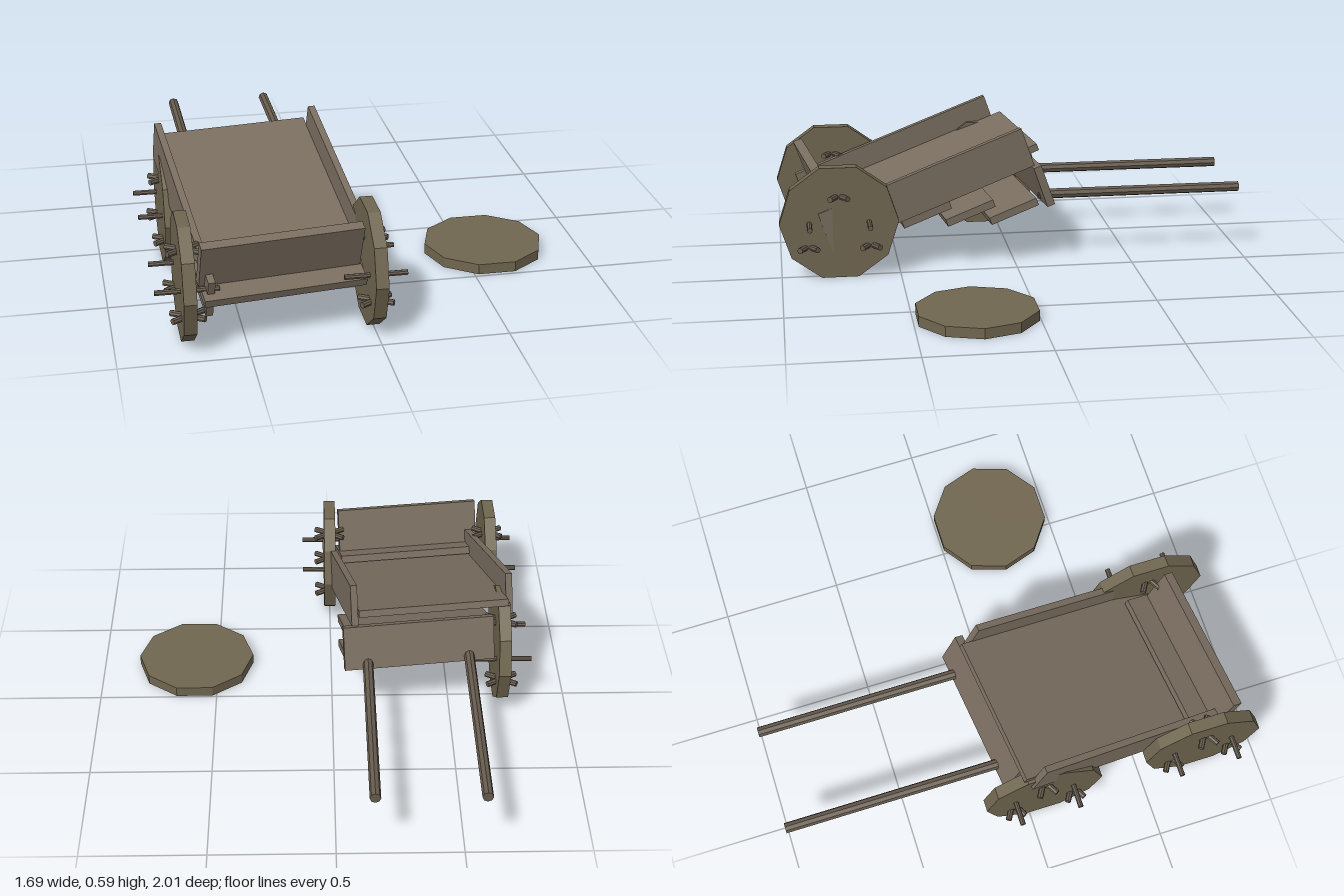
import * as THREE from 'three';

const plankWood = new THREE.MeshStandardMaterial({ color: 0x7a6e60, flatShading: true });
const wheelWood = new THREE.MeshStandardMaterial({ color: 0x706650, flatShading: true });
const poleWood = new THREE.MeshStandardMaterial({ color: 0x675c4f, flatShading: true });

const YAW = 0.122;   // the bed has slewed sideways
const PITCH = 0.34;  // and tipped, back end up

function add(parent, name, geometry, material, x, y, z) {
  const mesh = new THREE.Mesh(geometry, material);
  mesh.name = name;
  mesh.position.set(x, y, z);
  parent.add(mesh);
  return mesh;
}

// Board tilted like the bed
function tiltedBoard(parent, name, size, x, y, z) {
  const board = add(parent, name, new THREE.BoxGeometry(...size), plankWood, x, y, z);
  board.rotation.set(PITCH, YAW, 0, 'YXZ');
  return board;
}

// Rod lying across the wheel, turned by an angle in the horizontal plane
function crossRod(parent, name, radius, length, y, z, angle) {
  const rod = add(parent, name, new THREE.CylinderGeometry(radius, radius, length, 8), poleWood, 0, y, z);
  rod.rotation.set(0, angle, Math.PI / 2, 'YXZ');
}

const wheelDisc = new THREE.CylinderGeometry(0.25, 0.25, 0.05, 10);

// Upright ten-sided wheel with crossed pegs and two long through rods
function makeWheel(name, x, z) {
  const wheel = new THREE.Group();
  wheel.name = name;
  wheel.position.set(x, 0.238, z);
  add(wheel, 'wheelDisc', wheelDisc, wheelWood, 0, 0, 0).rotation.z = Math.PI / 2;
  for (const [y, pz] of [[0.112, 0], [-0.104, 0.13], [-0.104, -0.13]]) {
    for (const s of [-1, 1]) crossRod(wheel, 'crossedPeg', 0.0125, 0.145, y, pz, s * 0.54);
  }
  for (const s of [-1, 1]) crossRod(wheel, 'throughRod', 0.011, 0.245, 0, s * 0.125, 0);
  return wheel;
}

export function createModel() {
  const cart = new THREE.Group();
  cart.name = 'brokenCart';

  // Three wheels still upright, one fallen flat beside the cart
  cart.add(makeWheel('frontRightWheel', -0.72, 0.755));
  cart.add(makeWheel('backRightWheel', -0.72, 0.06));
  cart.add(makeWheel('frontLeftWheel', 0, 0.755));
  const fallen = add(cart, 'fallenWheel', wheelDisc, wheelWood, 0.595, 0.0215, 0.245);
  fallen.rotation.y = Math.PI / 2;
  fallen.scale.y = 0.86;

  // Tilted bed: floor and side boards
  const bed = new THREE.Group();
  bed.name = 'bed';
  bed.position.set(-0.363, 0.354, 0.42);
  bed.rotation.set(PITCH, YAW, 0, 'YXZ');
  cart.add(bed);
  add(bed, 'floor', new THREE.BoxGeometry(0.63, 0.03, 0.93), plankWood, 0, -0.025, -0.045);
  for (const s of [-1, 1]) {
    add(bed, 'sideBoard', new THREE.BoxGeometry(0.028, 0.175, 0.93), plankWood, s * 0.327, 0, 0);
  }

  // Stepped cross planks under the floor
  for (let i = 0; i < 5; i++) {
    tiltedBoard(cart, 'crossPlank', [0.635, 0.033, 0.22], -0.358, 0.237, 0.046 + i * 0.187);
  }

  // End boards
  tiltedBoard(cart, 'frontBoard', [0.635, 0.195, 0.04], -0.358, 0.336, 0.838);
  tiltedBoard(cart, 'tailBoard', [0.635, 0.185, 0.035], -0.362, 0.342, -0.085);

  // Pull shafts running out of the tail board
  for (const [x, start] of [[-0.575, -0.06], [-0.148, -0.11]]) {
    const length = 1 + start;
    const shaft = add(cart, 'shaft', new THREE.CylinderGeometry(0.022, 0.022, length, 8),
      poleWood, x, 0.281, start - length / 2);
    shaft.rotation.x = Math.PI / 2;
  }
  return cart;
}
